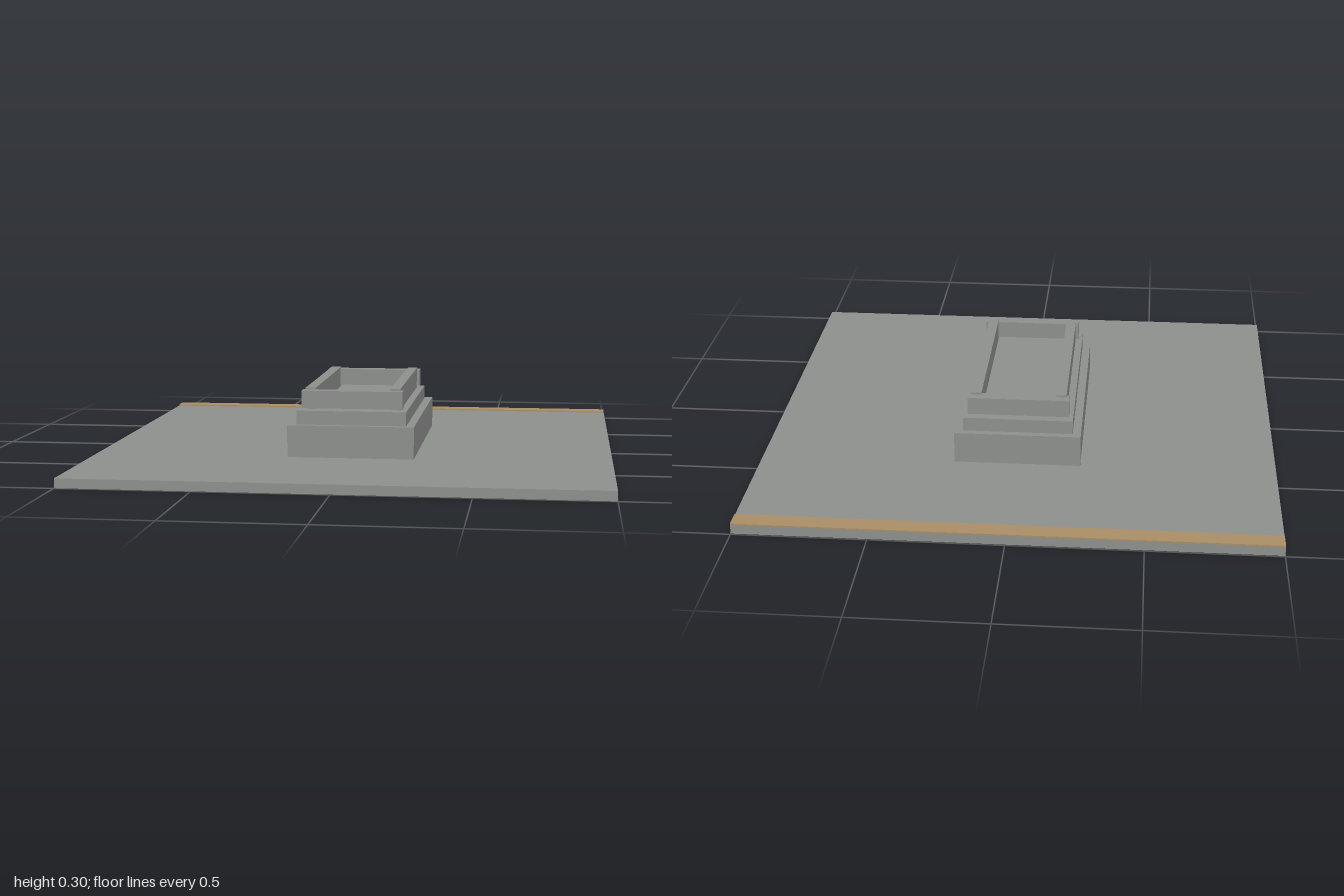
import * as THREE from 'three';

export function createModel() {
  const root = new THREE.Group();
  root.name = 'plinthOnSlab';

  const stone = new THREE.MeshStandardMaterial({ color: 0x8f918f });
  stone.name = 'grey stone';
  const timber = new THREE.MeshStandardMaterial({ color: 0xab9067 });
  timber.name = 'tan strip';

  // Box given by its size, the height of its underside and its centre in plan
  function block(name, material, width, depth, bottom, top, x = 0, z = 0) {
    const mesh = new THREE.Mesh(new THREE.BoxGeometry(width, top - bottom, depth), material);
    mesh.position.set(x, (bottom + top) / 2, z);
    mesh.name = name;
    root.add(mesh);
  }

  // Ground slab with a thin raised strip along the back edge
  block('slab', stone, 2, 1.99, 0, 0.036);
  block('backStrip', timber, 2, 0.07, 0.036, 0.042, 0, -0.96);

  // Two-step plinth
  block('lowerStep', stone, 0.49, 0.894, 0.036, 0.16);
  block('upperStep', stone, 0.426, 0.842, 0.16, 0.214);

  // Open frame: side rails stand on the plinth and lift the end rails clear of it
  for (const side of [1, -1]) {
    const label = side > 0 ? 'left' : 'right';
    block(label + 'SideRail', stone, 0.04, 0.728, 0.214, 0.297, side * 0.165);
    block(side > 0 ? 'frontEndRail' : 'backEndRail', stone, 0.393, 0.05, 0.221, 0.289, 0, side * 0.373);
  }

  return root;
}
